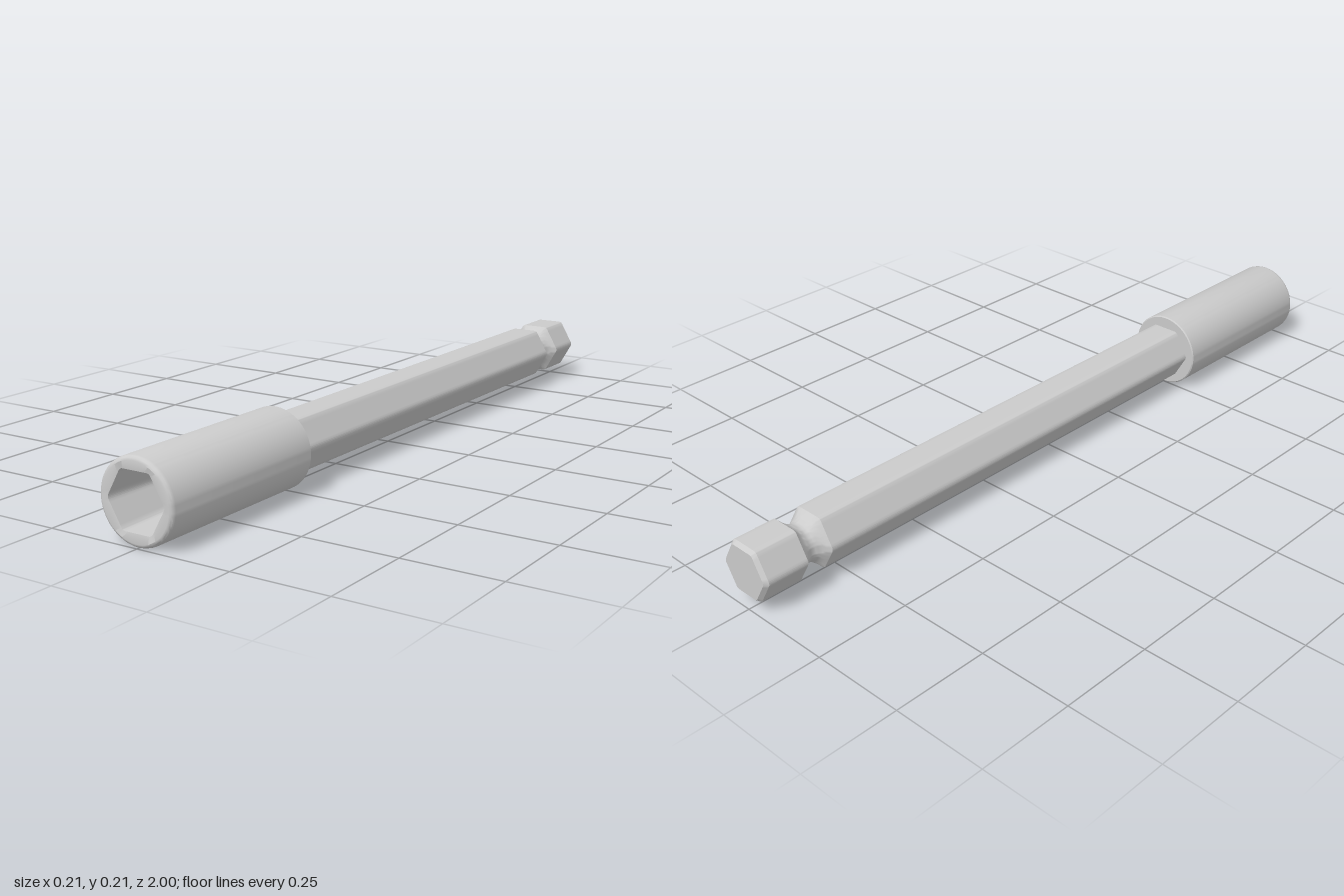
import * as THREE from 'three';
import { toCreasedNormals } from 'three/addons/utils/BufferGeometryUtils.js';

const AXIS_Y = 0.103;

// Points of a hexagon with rounded corners (corners on +x / -x), by apothem and corner radius
function hexRing(apothem, radius) {
  const corners = [];
  const centre = (apothem - radius) / Math.cos(Math.PI / 6);
  for (let k = 0; k < 6; k++) {
    const dir = k * Math.PI / 3, arc = [];
    for (let s = -2; s <= 2; s++) {
      const a = dir + s * Math.PI / 12;
      arc.push(new THREE.Vector2(
        centre * Math.cos(dir) + radius * Math.cos(a),
        centre * Math.sin(dir) + radius * Math.sin(a)));
    }
    corners.push(arc);
  }
  // subdivide the flats so the ring can also become a circle
  return corners.flatMap((arc, k) => {
    const start = arc[4], end = corners[(k + 1) % 6][0], flat = [];
    for (let i = 1; i <= 8; i++) flat.push(start.clone().lerp(end, i / 9));
    return [...arc, ...flat];
  });
}

// One cross-section: size is the apothem (hex) or radius (circle); round 0 = hex, 1 = circle
function section(z, size, round) {
  return hexRing(1, 0.17).map(p => {
    const q = p.clone().lerp(p.clone().normalize(), round).multiplyScalar(size);
    return [q.x, q.y, z];
  });
}

// Skin a list of [z, size, round] sections
function loft(name, rows, material) {
  const rings = rows.map(r => section(...r));
  const n = rings[0].length, index = [];
  for (let i = 0; i < rings.length - 1; i++) {
    for (let j = 0; j < n; j++) {
      const k = (j + 1) % n;
      const a = i * n + j, b = i * n + k, c = a + n, d = b + n;
      if (rows[i][1] > 0) index.push(a, b, d);
      if (rows[i + 1][1] > 0) index.push(a, d, c);
    }
  }
  const geometry = new THREE.BufferGeometry();
  geometry.setAttribute('position', new THREE.Float32BufferAttribute(rings.flat(2), 3));
  geometry.setIndex(index);
  const mesh = new THREE.Mesh(toCreasedNormals(geometry, 0.55), material);
  mesh.name = name;
  mesh.position.y = AXIS_Y;
  return mesh;
}

export function createModel() {
  const group = new THREE.Group();
  group.name = 'hexSocketDriver';
  const steel = new THREE.MeshStandardMaterial({ color: 0xcccccc });

  // Hex shank: bevelled tip, then a locking groove that necks down to a circle
  const shank = [[-1, 0, 0], [-1, 0.061, 0], [-0.99, 0.069, 0]];
  const grooveBack = -0.88, grooveFront = -0.81;
  for (let i = 0; i <= 10; i++) {
    const t = i / 10, depth = Math.sin(Math.PI * t);
    shank.push([THREE.MathUtils.lerp(grooveBack, grooveFront, t), 0.069 - 0.019 * depth, depth]);
  }
  shank.push([0.55, 0.069, 0]);
  group.add(loft('hexShank', shank, steel));

  // Round socket: back face, barrel, rounded lip, then the tapered hex bore and its floor
  group.add(loft('socket', [
    [0.5, 0.05, 1], [0.5, 0.1, 1], [0.503, 0.103, 1],
    [0.988, 0.103, 1], [0.994, 0.1015, 1], [0.998, 0.098, 1], [1, 0.093, 1],
    [0.997, 0.07, 0], [0.72, 0.06, 0], [0.72, 0, 0],
  ], steel));

  return group;
}
